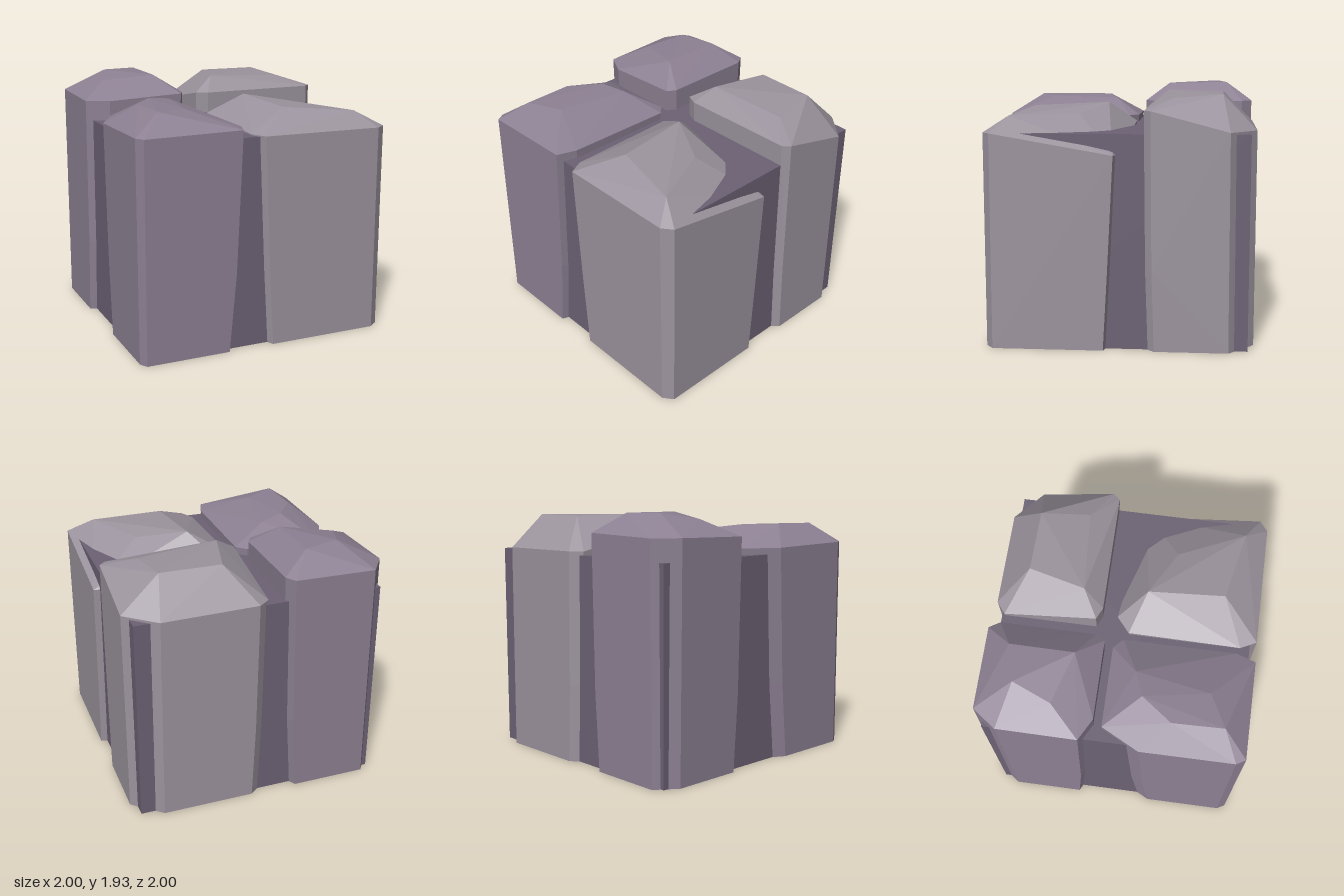
import * as THREE from 'three';
import { ConvexGeometry } from 'three/addons/geometries/ConvexGeometry.js';

const PURPLE = 0x8c8092;
const GREY = 0x9b939d;

// A faceted stone in the quadrant given by the signs sx, sz.
// Each shoulder corner is [x, y, z, chamfer along x, chamfer along z];
// foot and waist are copies of the shoulder outline shrunk towards the outer corner.
function makeStone(name, sx, sz, foot, waist, corners, crown) {
  const points = crown.map((p) => new THREE.Vector3(...p));
  for (const [x, y, z, cx = 0.07, cz = 0.07] of corners) {
    const inX = x - Math.sign(x - sx * 0.55) * cx;
    const inZ = z - Math.sign(z - sz * 0.55) * cz;
    for (const [px, pz] of [[inX, z], [x, inZ]]) {
      points.push(new THREE.Vector3(px, y, pz));
      for (const [h, s] of [[0, foot], [0.6, waist]]) {
        points.push(new THREE.Vector3(sx + (px - sx) * s, h, sz + (pz - sz) * s));
      }
    }
  }
  const mesh = new THREE.Mesh(
    new ConvexGeometry(points),
    new THREE.MeshStandardMaterial({ color: sx < 0 ? PURPLE : GREY, flatShading: true }));
  mesh.name = name;
  return mesh;
}

export function createModel() {
  const group = new THREE.Group();
  group.name = 'stoneBlock';

  // Core block showing in the joints between the stones
  const core = new THREE.Mesh(
    new THREE.BoxGeometry(1.9, 1.6, 1.9),
    new THREE.MeshStandardMaterial({ color: 0x6c6274, flatShading: true }));
  core.name = 'core';
  core.position.y = 0.802;
  group.add(core);

  group.add(makeStone('frontRightStone', -1, 1, 0.87, 0.94,
    [[-1, 1.65, -0.07, 0.15, 0.29], [-0.16, 1.66, -0.07],
      [-0.16, 1.67, 1, 0.05, 0.15], [-1, 1.66, 1, 0.04]],
    [[-0.79, 1.81, 0.82], [-0.54, 1.8, 0.69], [-0.8, 1.81, 0.43],
      [-0.63, 1.815, 0.2], [-0.44, 1.79, 0.13]]));

  // The inner back of this stone slopes down into the core
  group.add(makeStone('frontLeftStone', 1, 1, 0.92, 0.955,
    [[-0.09, 1.63, -0.07, 0.12, 0.1], [1, 1.45, 0.02, 0.07, 0.02],
      [1, 1.605, 1, 0.08, 0.06], [-0.09, 1.61, 1, 0.06, 0.12]],
    [[0.2, 1.79, 0.14], [0.25, 1.765, 0.72], [0.8, 1.72, 0.83], [0.57, 1.72, 0.33]]));

  group.add(makeStone('backLeftStone', 1, -1, 0.96, 0.985,
    [[-0.06, 1.765, -0.18, 0.09, 0.04], [1, 1.77, -0.18, 0.05, 0.05],
      [1, 1.62, -1, 0.23, 0.2], [-0.06, 1.63, -1, 0.09]],
    [[0.12, 1.885, -0.33], [0.7, 1.88, -0.75], [0.23, 1.88, -0.76], [0.75, 1.85, -0.38]]));

  group.add(makeStone('backRightStone', -1, -1, 0.92, 0.97,
    [[-1, 1.755, -0.13, 0.17, 0.09], [-0.19, 1.78, -0.13, 0.04],
      [-0.19, 1.78, -1, 0.05, 0.08], [-1, 1.77, -1, 0.13, 0.18]],
    [[-0.68, 1.93, -0.73], [-0.4, 1.925, -0.8], [-0.4, 1.92, -0.32], [-0.79, 1.88, -0.44]]));

  return group;
}
